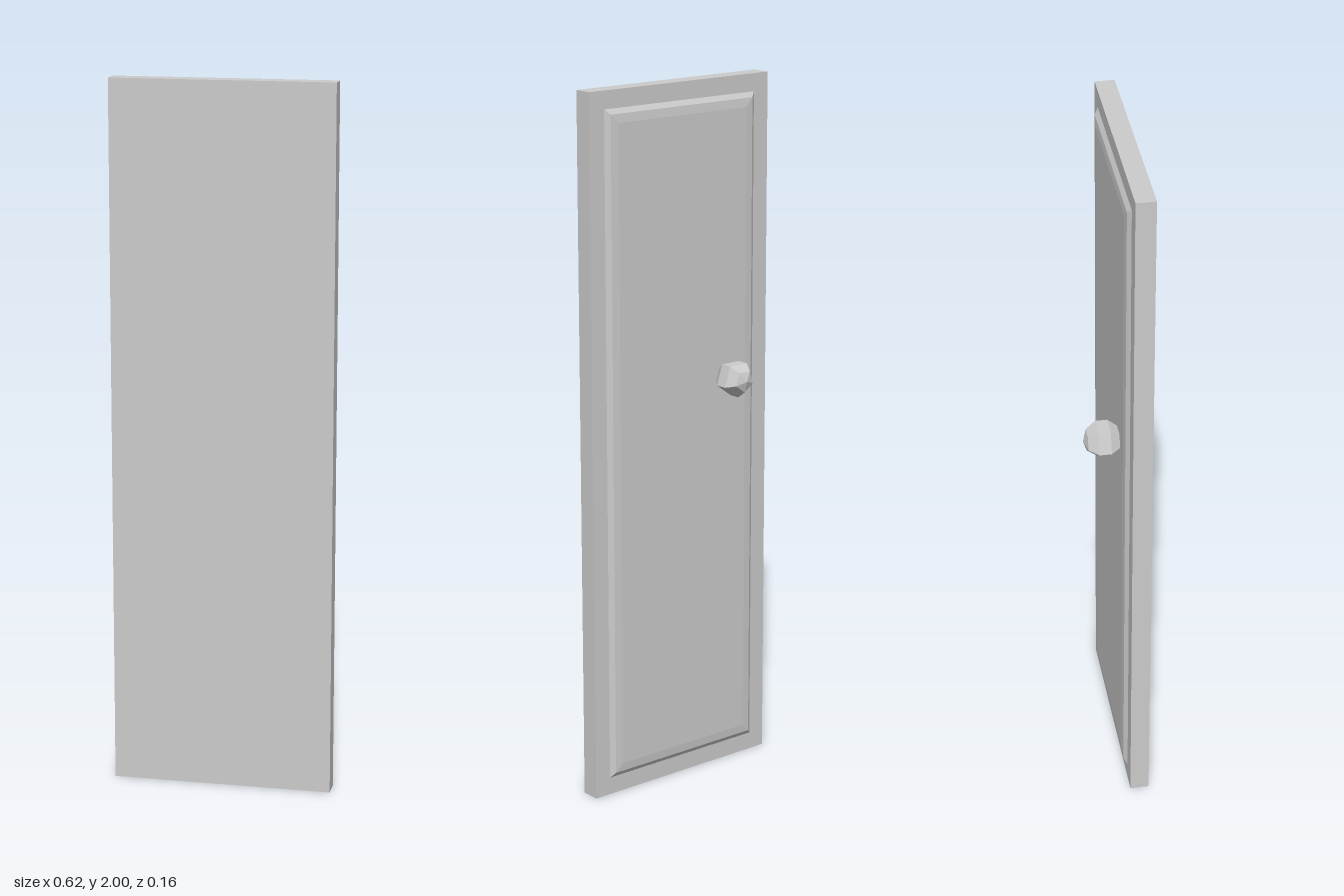
import * as THREE from 'three';

const HALF_WIDTH = 0.312, HEIGHT = 2, FRONT = 0.08, BACK = 0.026;

// Raised panel facing -z: rectangles stepped inward and outward, then capped.
// Each step is [inset from the door edge, z].
function raisedPanel(steps) {
  const rings = steps.map(([inset, z]) => {
    const x = HALF_WIDTH - inset, top = HEIGHT - inset;
    return [[-x, inset, z], [x, inset, z], [x, top, z], [-x, top, z]];
  });
  const positions = [];
  const quad = (a, b, c, d) => positions.push(...a, ...c, ...b, ...a, ...d, ...c);
  for (let i = 0; i < rings.length - 1; i++) {
    for (let j = 0; j < 4; j++) {
      const k = (j + 1) % 4;
      quad(rings[i][j], rings[i][k], rings[i + 1][k], rings[i + 1][j]);
    }
  }
  quad(...rings[rings.length - 1]);
  const geometry = new THREE.BufferGeometry();
  geometry.setAttribute('position', new THREE.Float32BufferAttribute(positions, 3));
  geometry.computeVertexNormals();
  return geometry;
}

export function createModel() {
  const group = new THREE.Group();
  group.name = 'cabinetDoor';
  const material = new THREE.MeshStandardMaterial({ color: 0xcccccc, flatShading: true });
  const add = (name, geometry, x, y, z) => {
    const mesh = new THREE.Mesh(geometry, material);
    mesh.name = name;
    mesh.position.set(x, y, z);
    group.add(mesh);
  };

  // Door slab
  add('doorSlab', new THREE.BoxGeometry(HALF_WIDTH * 2, HEIGHT, FRONT - BACK),
    0, HEIGHT / 2, (FRONT + BACK) / 2);

  // Bevelled panel
  add('raisedPanel', raisedPanel([[0.05, BACK], [0.064, 0.016], [0.088, 0.0135]]), 0, 0, 0);

  // Five-sided knob, poles along z, one corner pointing down
  const knob = new THREE.SphereGeometry(0.0545, 5, 5, -Math.PI / 2);
  knob.rotateX(-Math.PI / 2);
  add('knob', knob, -0.149, 1.162, -0.0285);

  return group;
}
